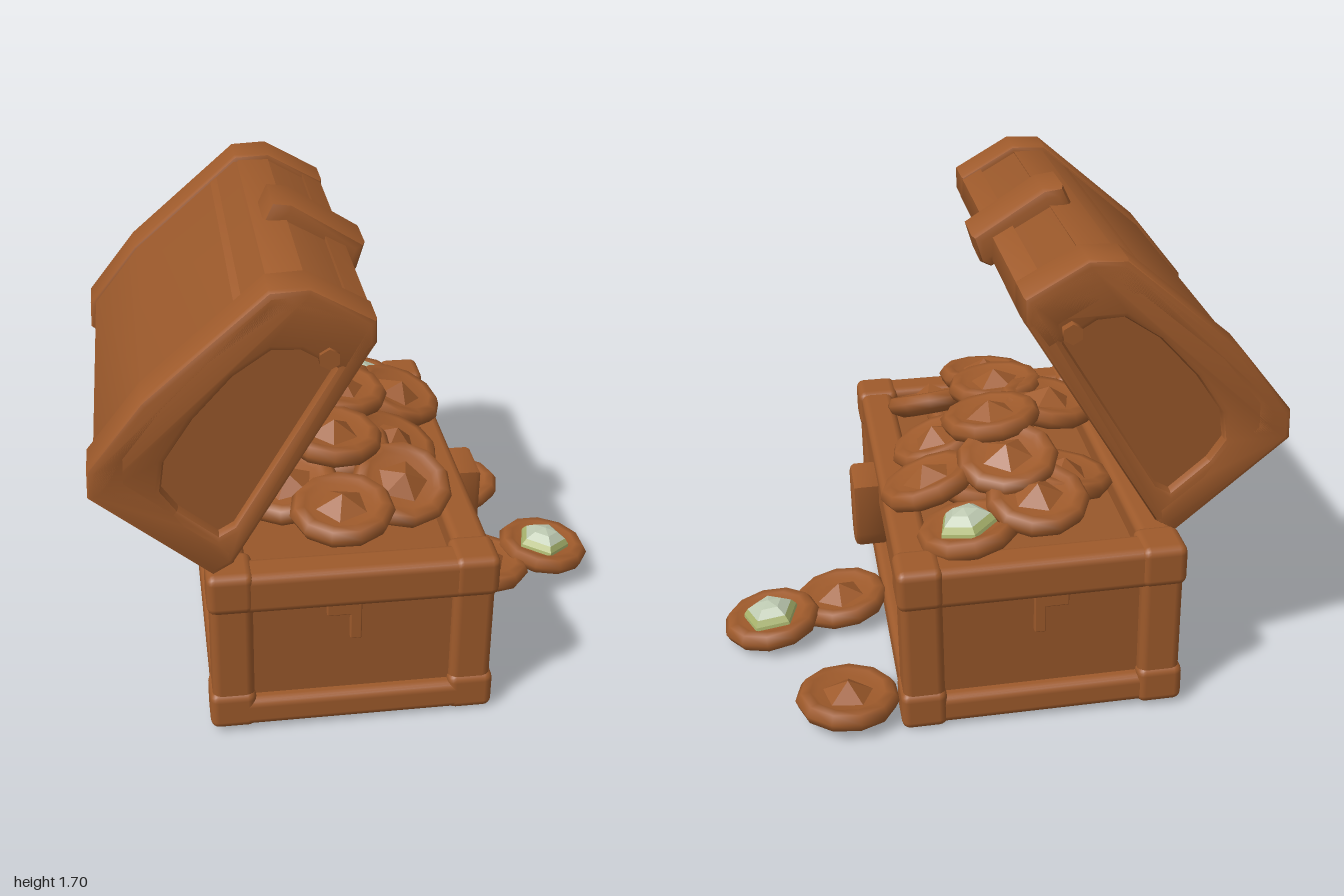
import * as THREE from 'three';
import { RoundedBoxGeometry } from 'three/addons/geometries/RoundedBoxGeometry.js';
import { toCreasedNormals } from 'three/addons/utils/BufferGeometryUtils.js';

export function createModel() {
  const paint = (name, color) => Object.assign(new THREE.MeshStandardMaterial({ color }), { name });
  const trim = paint('trim brown', 0x9e5a2b);
  const wood = paint('panel brown', 0x98572a);
  const coinBrown = paint('coin brown', 0x9e5a2b);
  const gemPale = paint('gem pale green', 0xbcc8b0);
  const gemRim = paint('gem yellow green', 0xaab56e);

  const model = new THREE.Group();
  model.name = 'treasureChest';
  const chest = new THREE.Group();
  chest.name = 'chest';
  chest.rotation.y = 0.094;
  model.add(chest);

  function add(parent, name, geometry, material, x = 0, y = 0, z = 0) {
    const mesh = new THREE.Mesh(geometry, material);
    mesh.name = name;
    mesh.position.set(x, y, z);
    parent.add(mesh);
    return mesh;
  }
  // Soft-edged beam given by its two opposite corners
  function beam(parent, name, a, b, material = trim, radius = 0.03) {
    const s = a.map((v, i) => b[i] - v);
    const g = new RoundedBoxGeometry(s[0], s[1], s[2], 2, radius);
    return add(parent, name, g, material, ...a.map((v, i) => (v + b[i]) / 2));
  }
  const toShape = pts => new THREE.Shape(pts.map(p => new THREE.Vector2(...p)));
  // Cross-section in xy, swept from z0 to z1 with a small bevel
  function sweep(parent, name, pts, z0, z1, material = trim, hole = null, bevel = 0.015) {
    const shape = toShape(pts);
    if (hole) shape.holes.push(new THREE.Path(hole.map(p => new THREE.Vector2(...p))));
    const g = new THREE.ExtrudeGeometry(shape, {
      depth: z1 - z0 - 2 * bevel, bevelEnabled: bevel > 0, bevelSize: bevel,
      bevelThickness: bevel, bevelOffset: -bevel, bevelSegments: 2,
    });
    return add(parent, name, toCreasedNormals(g, 0.75), material, 0, 0, z0 + bevel);
  }

  // ---- Base box ----
  const base = new THREE.Group();
  base.name = 'base';
  base.rotation.z = -0.014;
  chest.add(base);
  const x0 = -0.575, x1 = 0.4, z0 = -0.77, z1 = 0.785, w = 0.13;
  beam(base, 'basePanels', [x0 + 0.045, 0.015, z0 + 0.045], [x1 - 0.045, 0.555, z1 - 0.045], wood, 0.01);
  for (const [name, lo, hi, t] of [['topRail', 0.485, 0.635, w], ['bottomRail', 0.015, 0.125, 0.1]]) {
    for (const x of [x0, x1 - t]) beam(base, name, [x, lo, z0], [x + t, hi, z1]);
    for (const z of [z0, z1 - t]) beam(base, name, [x0, lo, z], [x1, hi, z + t]);
  }
  for (const sx of [0, 1]) for (const sz of [0, 1]) {
    const px = sx ? x1 - 0.145 : x0, pz = sz ? z1 - 0.165 : z0;
    beam(base, 'cornerPost', [px, 0.03, pz], [px + 0.145, 0.62, pz + 0.155]);
    const cx = sx ? x1 - 0.15 : x0 - 0.01, cz = sz ? z1 - 0.165 : z0 - 0.01;
    beam(base, 'cornerFoot', [cx, 0.01, cz], [cx + 0.16, 0.155, cz + 0.165]);
    beam(base, 'topCorner', [cx, 0.49, cz], [cx + 0.16, 0.643, cz + 0.17]);
  }
  // End brackets
  for (const z of [z0 + 0.025, z1 - 0.05]) {
    beam(base, 'endBracketBar', [-0.18, 0.44, z], [-0.06, 0.49, z + 0.025], trim, 0.005);
    beam(base, 'endBracketTab', [-0.1, 0.34, z], [-0.06, 0.46, z + 0.025], trim, 0.005);
  }
  // Shield-shaped latch
  const latchShape = toShape([[-0.095, 0.59], [-0.09, 0.38], [-0.06, 0.32], [0, 0.3], [0.06, 0.32], [0.09, 0.38], [0.1, 0.59]]);
  const latchGeo = new THREE.ExtrudeGeometry(latchShape, {
    depth: 0.09, bevelSize: 0.02, bevelThickness: 0.02, bevelOffset: -0.02, bevelSegments: 2,
  });
  add(base, 'latch', toCreasedNormals(latchGeo, 0.7), trim, 0.385, 0, 0.033).rotation.y = Math.PI / 2;

  // ---- Open lid ----
  const lid = new THREE.Group();
  lid.name = 'lid';
  chest.add(lid);
  const outer = [[-0.55, 0.67], [-0.48, 0.71], [-0.02, 1.46], [-0.02, 1.54], [-0.22, 1.655],
    [-0.345, 1.65], [-0.74, 1.315], [-0.92, 1.09], [-0.925, 0.99]];
  const inner = [[-0.62, 0.88], [-0.7, 1.0], [-0.685, 1.1], [-0.59, 1.24], [-0.46, 1.38], [-0.34, 1.46], [-0.25, 1.455], [-0.09, 1.355]];
  const mid = [-0.46, 1.2];
  const scaled = k => outer.map(p => p.map((v, i) => mid[i] + (v - mid[i]) * k));
  // Hollow dome section, open along the rim
  const arch = k => {
    const o = scaled(k);
    return [...o.slice(2), o[0], o[1], [-0.475, 0.76], ...inner];
  };
  sweep(lid, 'lidShell', arch(0.965), -0.6, 0.72, wood, null, 0);
  // End bands, thin end frames and their recessed panels
  for (const [a, b, c, d, p, q] of [[-0.69, -0.51, -0.69, -0.59, -0.65, -0.585], [0.62, 0.79, 0.69, 0.79, 0.685, 0.75]]) {
    sweep(lid, 'lidEndBand', arch(1.01), a, b, trim, null, 0.02);
    sweep(lid, 'lidEndFrame', scaled(1.005), c, d, trim, scaled(0.72), 0.02);
    sweep(lid, 'lidEndPanel', scaled(0.78), p, q, wood, null, 0);
  }
  sweep(lid, 'lidFrontRail', [[-0.13, 1.35], [-0.085, 1.345], [-0.02, 1.45], [-0.02, 1.535], [-0.09, 1.575]], -0.6, 0.7);
  sweep(lid, 'lidTopRail', [[-0.25, 1.56], [-0.22, 1.64], [-0.33, 1.64], [-0.44, 1.56], [-0.38, 1.48]], -0.6, 0.7);
  sweep(lid, 'lidBackRail', [[-0.55, 0.675], [-0.48, 0.715], [-0.46, 0.77], [-0.56, 0.83], [-0.65, 0.765]], -0.6, 0.7);
  // Clasp and side studs
  sweep(lid, 'clasp', [[-0.32, 1.6], [-0.02, 1.42], [0.02, 1.44], [0.05, 1.535], [-0.2, 1.695], [-0.27, 1.705]],
    -0.07, 0.148, trim, null, 0.03);
  for (const z of [-0.69, 0.775]) {
    const stud = add(lid, 'lidStud', new THREE.CylinderGeometry(0.035, 0.035, 0.06, 6), trim, -0.165, 1.43, z);
    stud.rotation.x = Math.PI / 2;
  }

  // ---- Coins ----
  const lathe = (pts, n) => new THREE.LatheGeometry(pts.map(p => new THREE.Vector2(...p)), n);
  const facet = g => {
    const flat = g.toNonIndexed();
    flat.computeVertexNormals();
    return flat;
  };
  const coinGeo = lathe([[0, -0.042], [0.13, -0.042], [0.17, -0.022], [0.184, 0.01], [0.165, 0.038],
    [0.132, 0.04], [0.112, 0.022], [0, 0.022]], 11);
  const bumpGeo = facet(new THREE.ConeGeometry(0.1, 0.055, 5));
  const gemTopGeo = facet(lathe([[0.088, 0], [0.05, 0.025], [0, 0.036]], 5));
  const gemBaseGeo = facet(lathe([[0.108, 0], [0.105, 0.012], [0.088, 0.034]], 5));
  // x, y, z, tilt about x, tilt about z, carries a gem
  const coins = [
    [0.525, 0.062, -0.69, 0.06, 0.03, 0], [0.56, 0.066, -0.065, 0, -0.12, 0], [0.82, 0.06, -0.185, 0, -0.12, 1],
    [0.09, 0.65, -0.56, 0.05, -0.2, 1], [0.215, 0.71, -0.315, 0.1, -0.35, 0], [0.17, 0.69, 0.03, 0.05, -0.35, 0],
    [0.18, 0.705, 0.36, 0.42, -0.15, 0], [-0.04, 0.725, 0.55, 0.14, 0, 0], [-0.02, 0.85, -0.1, 0.06, -0.15, 0],
    [-0.06, 0.83, 0.22, 0.05, -0.1, 0], [-0.06, 0.8, -0.33, -0.25, -0.08, 0], [-0.24, 0.83, 0.05, 0, 0.15, 0],
    [-0.22, 0.72, 0.38, 0.2, 0.1, 0], [-0.26, 0.71, -0.3, 0.1, 0.15, 0], [-0.15, 0.73, -0.5, -0.2, 0, 0],
    [-0.02, 0.71, 0.1, 0.1, 0.1, 0], [0.03, 0.67, -0.25, 0, 0.1, 0], [0.02, 0.64, 0.35, 0, 0, 0],
  ];
  coins.forEach(([x, y, z, rx, rz, gem], i) => {
    const coin = new THREE.Group();
    coin.name = gem ? 'gemCoin' : 'coin';
    coin.position.set(x, y, z);
    coin.rotation.set(rx, i * 0.7, rz, 'XZY');
    add(coin, 'coinDisc', coinGeo, coinBrown);
    if (gem) {
      add(coin, 'gemBase', gemBaseGeo, gemRim, 0, 0.022, 0);
      add(coin, 'gemTop', gemTopGeo, gemPale, 0, 0.056, 0);
    } else add(coin, 'coinBoss', bumpGeo, coinBrown, 0, 0.045, 0);
    model.add(coin);
  });
  return model;
}
